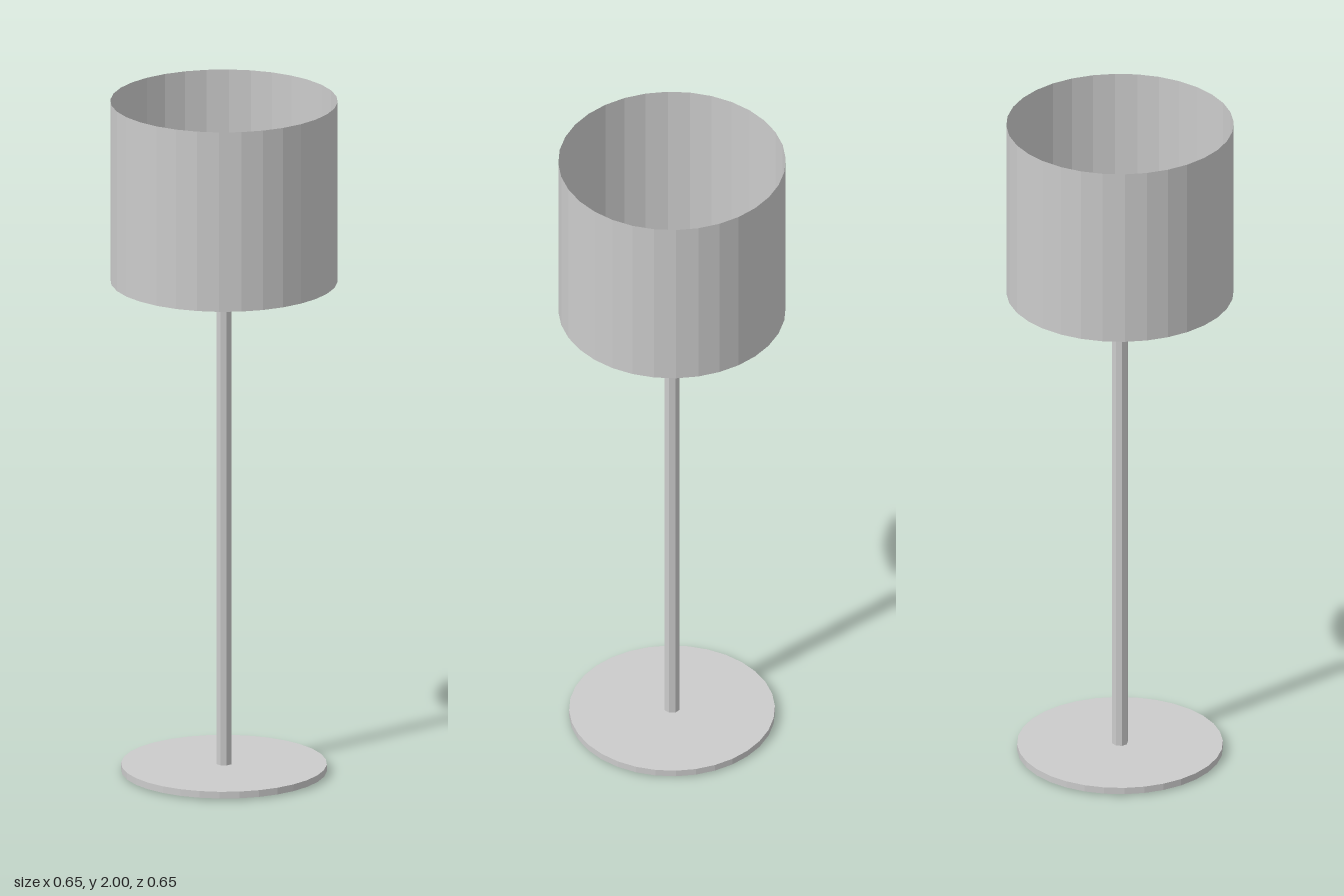
import * as THREE from 'three';

export function createModel() {
  const lamp = new THREE.Group();
  lamp.name = 'tableLamp';
  const solid = new THREE.MeshStandardMaterial({ color: 0xcccccc, flatShading: true });
  const thin = new THREE.MeshStandardMaterial({ color: 0xcccccc, flatShading: true, side: THREE.DoubleSide });

  // Upright cylinder between two heights; open ones are thin tubes
  function addCylinder(name, radius, bottom, top, sides, open) {
    const geometry = new THREE.CylinderGeometry(radius, radius, top - bottom, sides, 1, open);
    const mesh = new THREE.Mesh(geometry, open ? thin : solid);
    mesh.name = name;
    mesh.position.y = (bottom + top) / 2;
    lamp.add(mesh);
  }

  // Flat round foot
  addCylinder('base', 0.295, 0.005, 0.025, 32, false);
  // Slim pole, from just under the foot up to the middle of the shade
  addCylinder('pole', 0.023, 0, 1.73, 8, true);
  // Drum shade, open at both ends
  addCylinder('shade', 0.326, 1.465, 2, 32, true);

  return lamp;
}
